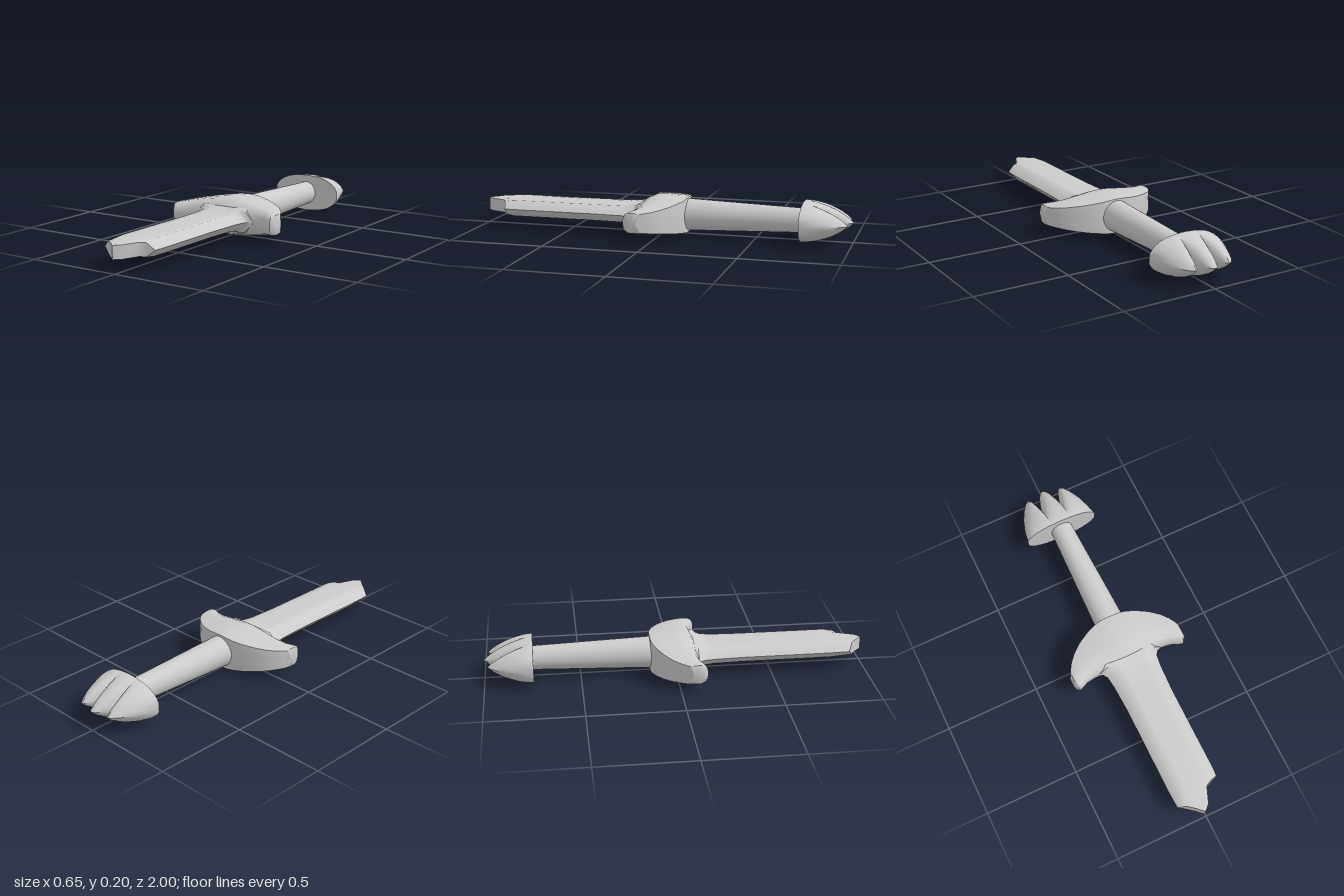
import * as THREE from 'three';
import { toCreasedNormals } from 'three/addons/utils/BufferGeometryUtils.js';

const MID = 0.102; // height of the sword's centre plane
const material = new THREE.MeshStandardMaterial({ color: 0xcccccc });

// Skins a row of matching cross-sections; each one is mirrored about y = 0,
// so the end caps are strips joining point i to point n - i.
function loft(name, rings, crease) {
  const n = rings[0].length;
  const index = [];
  const quad = (a, b, c, d) => index.push(a, b, c, a, c, d);
  for (let k = 0; k < rings.length - 1; k++) {
    for (let i = 0; i < n; i++) {
      const j = (i + 1) % n;
      quad(k * n + i, k * n + j, (k + 1) * n + j, (k + 1) * n + i);
    }
  }
  const last = (rings.length - 1) * n;
  for (let i = 0; i < n / 2; i++) {
    const [a, b, c, d] = [i, i + 1, n - i - 1, (n - i) % n];
    quad(last + a, last + b, last + c, last + d);
    quad(d, c, b, a);
  }
  const geometry = new THREE.BufferGeometry();
  geometry.setAttribute('position', new THREE.Float32BufferAttribute(rings.flat(2), 3));
  geometry.setIndex(index);
  const mesh = new THREE.Mesh(toCreasedNormals(geometry, crease), material);
  mesh.name = name;
  mesh.position.y = MID;
  return mesh;
}

// Repeats stations [x, ...] on the -x side, ordered along +x
const mirrorX = (half) => [
  ...half.slice(1).reverse().map(([x, ...rest]) => [-x, ...rest]),
  ...half,
];

// Hexagonal blade whose far end is broken off along a jagged line
function makeBlade() {
  // x, half thickness, z of the broken end
  const columns = [
    [-0.13, 0, 0.915], [-0.088, 0.043, 0.935], [-0.05, 0.043, 0.965], [-0.012, 0.043, 1],
    [0.02, 0.043, 0.97], [0.055, 0.043, 0.885], [0.088, 0.043, 0.868], [0.13, 0, 0.855],
  ];
  const lower = columns.map(([x, h, end]) => [x, -h, end]);
  const upper = columns.slice(1, -1).reverse();
  // z, width scale, thickness scale: flared where it runs into the guard
  const stations = [
    [0.06, 1.5, 1.5], [0.108, 1.45, 1.45], [0.118, 1.22, 1.3], [0.14, 1.11, 1.12],
    [0.2, 1.05, 1.02], [0.35, 1, 1], [0.82, 1, 1], [1, 0.97, 0.8],
  ];
  const rings = stations.map(([z, sx, sy]) =>
    [...lower, ...upper].map(([x, y, end]) => [x * sx, y * sy, Math.min(z, end)]));
  return loft('blade', rings, 0.9);
}

// Crossguard: flat back, rounded front, tips swept towards the blade
function makeGuard() {
  // x, back z, front z, half height
  const stations = mirrorX([
    [0, -0.138, 0.115, 0.1], [0.05, -0.137, 0.115, 0.097], [0.09, -0.13, 0.113, 0.091],
    [0.14, -0.112, 0.11, 0.084], [0.2, -0.08, 0.108, 0.074], [0.25, -0.042, 0.117, 0.065],
    [0.285, -0.003, 0.134, 0.058], [0.302, 0.024, 0.137, 0.055], [0.312, 0.045, 0.125, 0.052],
    [0.324, 0.06, 0.11, 0.004],
  ]);
  // fraction of depth, fraction of height
  const section = [[0, 0], [0, 0.5], [0.01, 0.93], [0.2, 0.98], [0.5, 1], [0.72, 0.97],
    [0.88, 0.8], [0.97, 0.45], [1, 0]];
  const lower = section.slice(1, -1).reverse().map(([d, h]) => [d, -h]);
  const rings = stations.map(([x, back, front, height]) =>
    [...section, ...lower].map(([d, h]) =>
      [x, h * height, THREE.MathUtils.lerp(back, front, d)]));
  return loft('crossguard', rings, 0.9);
}

// Tapered oval grip
function makeGrip() {
  const geometry = new THREE.CylinderGeometry(0.08, 0.059, 0.66, 32);
  geometry.rotateX(Math.PI / 2);
  geometry.scale(1, 1.06, 1);
  const mesh = new THREE.Mesh(geometry, material);
  mesh.name = 'grip';
  mesh.position.set(0, MID, -0.43);
  return mesh;
}

// Three-lobed pommel with a flat base
function makePommel() {
  // x, depth behind the base, half height at the base
  const stations = mirrorX([
    [0, 0.255, 0.102], [0.015, 0.248, 0.102], [0.03, 0.226, 0.101], [0.045, 0.185, 0.1],
    [0.055, 0.143, 0.099], [0.065, 0.182, 0.098], [0.08, 0.222, 0.096], [0.095, 0.236, 0.093],
    [0.115, 0.222, 0.088], [0.14, 0.188, 0.079], [0.165, 0.14, 0.065], [0.185, 0.08, 0.048],
    [0.2, 0.005, 0.025],
  ]);
  const steps = 10;
  const arch = [];
  for (let i = 0; i <= steps; i++) {
    const s = 1 - i / steps;
    arch.push([s, Math.pow(1 - Math.pow(s, 1.9), 0.85)]);
  }
  const section = [...arch, [0, 0], ...arch.slice(1).reverse().map(([s, h]) => [s, -h])];
  const rings = stations.map(([x, depth, height]) =>
    section.map(([s, h]) => [x, h * height, -0.745 - s * depth]));
  return loft('pommel', rings, 0.85);
}

export function createModel() {
  const sword = new THREE.Group();
  sword.name = 'brokenSword';
  sword.add(makeBlade(), makeGuard(), makeGrip(), makePommel());
  return sword;
}
